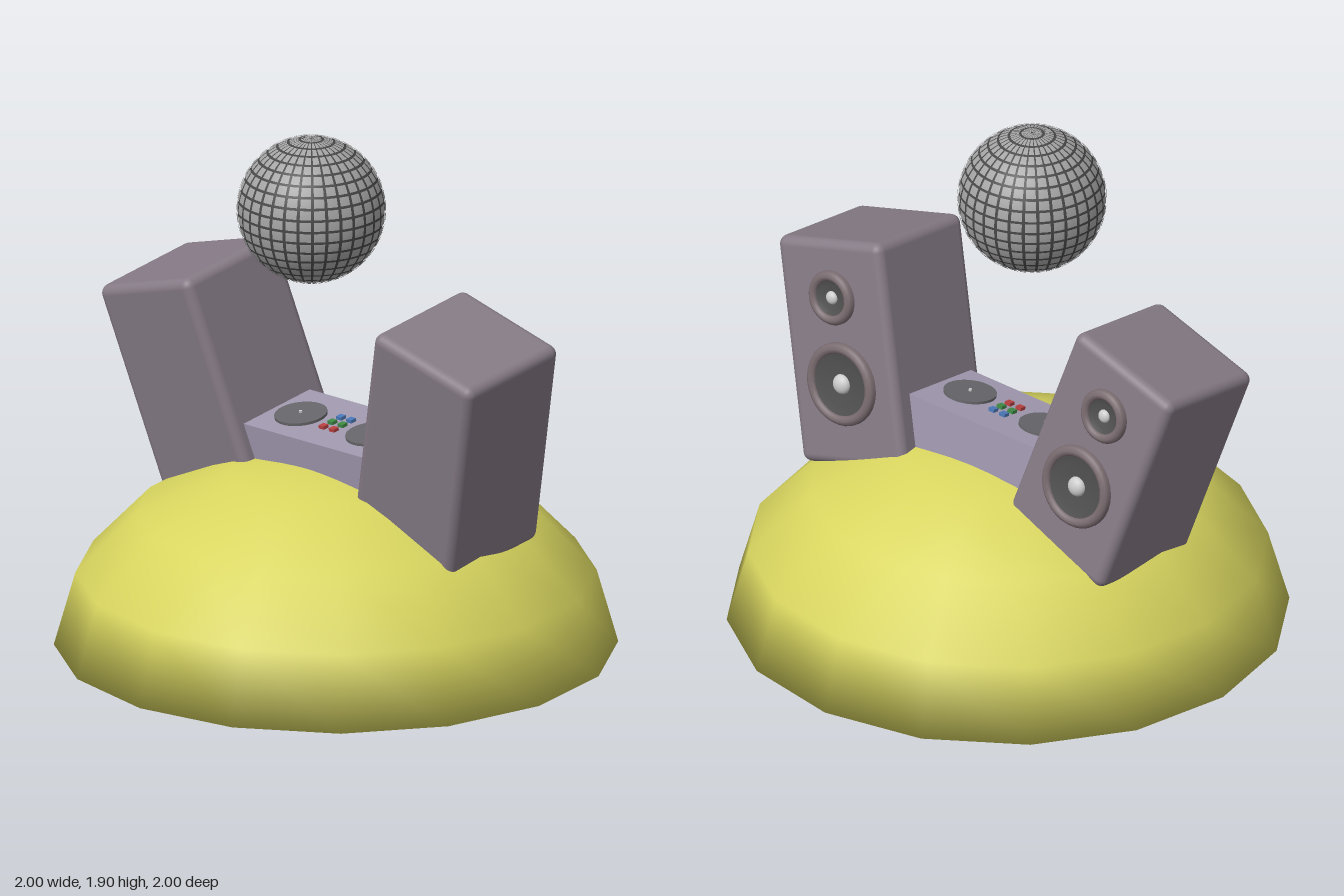
import * as THREE from 'three';
import { mergeGeometries, mergeVertices } from 'three/addons/utils/BufferGeometryUtils.js';
import { RoundedBoxGeometry } from 'three/addons/geometries/RoundedBoxGeometry.js';

const paint = (color) => new THREE.MeshStandardMaterial({ color });
const yellow = paint(0xd8d55f);
const cabinetGrey = paint(0x857a85);
const ringGrey = paint(0x7a6c70);
const coneGrey = paint(0x505050);
const capGrey = paint(0xc4c4c4);
const lavender = paint(0xa097ae);
const tileGrey = paint(0xa4a4a4);
const groutGrey = paint(0x484848);
const discGrey = paint(0x66666a);

function add(parent, name, geometry, material, x = 0, y = 0, z = 0) {
  const mesh = new THREE.Mesh(geometry, material);
  mesh.name = name;
  mesh.position.set(x, y, z);
  parent.add(mesh);
  return mesh;
}

// Squashed half sphere closed by a flat floor, shaded as one smooth surface
function domeGeometry() {
  const shell = new THREE.SphereGeometry(1, 16, 4, 0, Math.PI * 2, 0, Math.PI / 2).scale(1, 0.7, 1);
  const floor = new THREE.CircleGeometry(1, 16).rotateX(Math.PI / 2);
  const parts = [shell, floor];
  parts.forEach((g) => { g.deleteAttribute('uv'); g.deleteAttribute('normal'); });
  const dome = mergeVertices(mergeGeometries(parts), 1e-4);
  dome.computeVertexNormals();
  return dome;
}

// Dark core covered with inset mirror tiles
function mirrorBall(r) {
  const ball = new THREE.Group();
  ball.name = 'mirrorBall';
  const cols = 32, rows = 20, gap = 0.11;
  const dPhi = (Math.PI * 2) / cols, dTheta = Math.PI / rows;
  const tiles = [];
  for (let j = 0; j < rows; j++) {
    for (let i = 0; i < cols; i++) {
      tiles.push(new THREE.SphereGeometry(r, 1, 2,
        (i + gap) * dPhi, dPhi * (1 - 2 * gap),
        (j + gap) * dTheta, dTheta * (1 - 2 * gap)));
    }
  }
  add(ball, 'ballCore', new THREE.SphereGeometry(r - 0.004, cols, rows), groutGrey);
  add(ball, 'mirrorTiles', mergeGeometries(tiles), tileGrey);
  return ball;
}

// Round driver facing +x: raised ring, sunken cone and dust cap
function driver(name, outer, inner, cap) {
  const group = new THREE.Group();
  group.name = name;
  const lathe = (pts) => new THREE.LatheGeometry(pts.map((p) => new THREE.Vector2(...p)), 32);
  const mid = (outer + inner) / 2;
  add(group, 'ring', lathe([
    [outer, -0.01], [outer, 0.012], [outer - 0.006, 0.022], [mid, 0.03],
    [inner + 0.006, 0.024], [inner, 0.016], [inner, 0.002],
  ]), ringGrey);
  add(group, 'cone', lathe([[inner, 0.016], [inner * 0.7, 0.008], [0.001, 0.002]]), coneGrey);
  add(group, 'dustCap', new THREE.SphereGeometry(cap, 20, 12), capGrey, 0, 0.004).scale.y = 0.7;
  group.rotation.z = -Math.PI / 2;
  return group;
}

function speaker(name) {
  const group = new THREE.Group();
  group.name = name;
  add(group, 'cabinet', new RoundedBoxGeometry(0.47, 0.83, 0.48, 4, 0.035), cabinetGrey);
  const woofer = driver('woofer', 0.153, 0.115, 0.037);
  woofer.position.set(0.235, -0.11, 0);
  const tweeter = driver('tweeter', 0.1, 0.064, 0.025);
  tweeter.position.set(0.235, 0.207, 0);
  group.add(woofer, tweeter);
  return group;
}

export function createModel() {
  const model = new THREE.Group();
  model.name = 'musicDome';

  add(model, 'dome', domeGeometry(), yellow);

  const ball = mirrorBall(0.265);
  ball.position.set(-0.09, 1.637, -0.035);
  model.add(ball);

  // Console and speakers lean together
  const booth = new THREE.Group();
  booth.name = 'booth';
  booth.position.set(0.02, 0.8, -0.005);
  booth.rotation.set(-0.02, 0, 0.135);
  model.add(booth);

  const top = 0.012;
  add(booth, 'console', new THREE.BoxGeometry(0.34, 0.4, 0.66), lavender, 0, top - 0.2, 0);

  for (const side of [1, -1]) {
    const box = speaker(side > 0 ? 'frontSpeaker' : 'rearSpeaker');
    box.position.set(0.012, 0.09, side * 0.577);
    box.rotation.x = side * 0.277;
    booth.add(box);

    // Turntable with a small spindle
    add(booth, 'turntable', new THREE.CylinderGeometry(0.095, 0.095, 0.012, 32), discGrey, -0.01, top + 0.004, side * 0.175);
    add(booth, 'spindle', new THREE.CylinderGeometry(0.006, 0.006, 0.02, 8), capGrey, -0.01, top + 0.008, side * 0.175);
  }

  // Coloured mixer buttons between the turntables
  [0xb84040, 0x3f8a45, 0x4a78b8].forEach((color, i) => {
    for (const z of [-0.025, 0.025]) {
      add(booth, 'button', new THREE.BoxGeometry(0.025, 0.014, 0.025), paint(color), -0.05 + i * 0.045, top + 0.005, z);
    }
  });

  return model;
}
